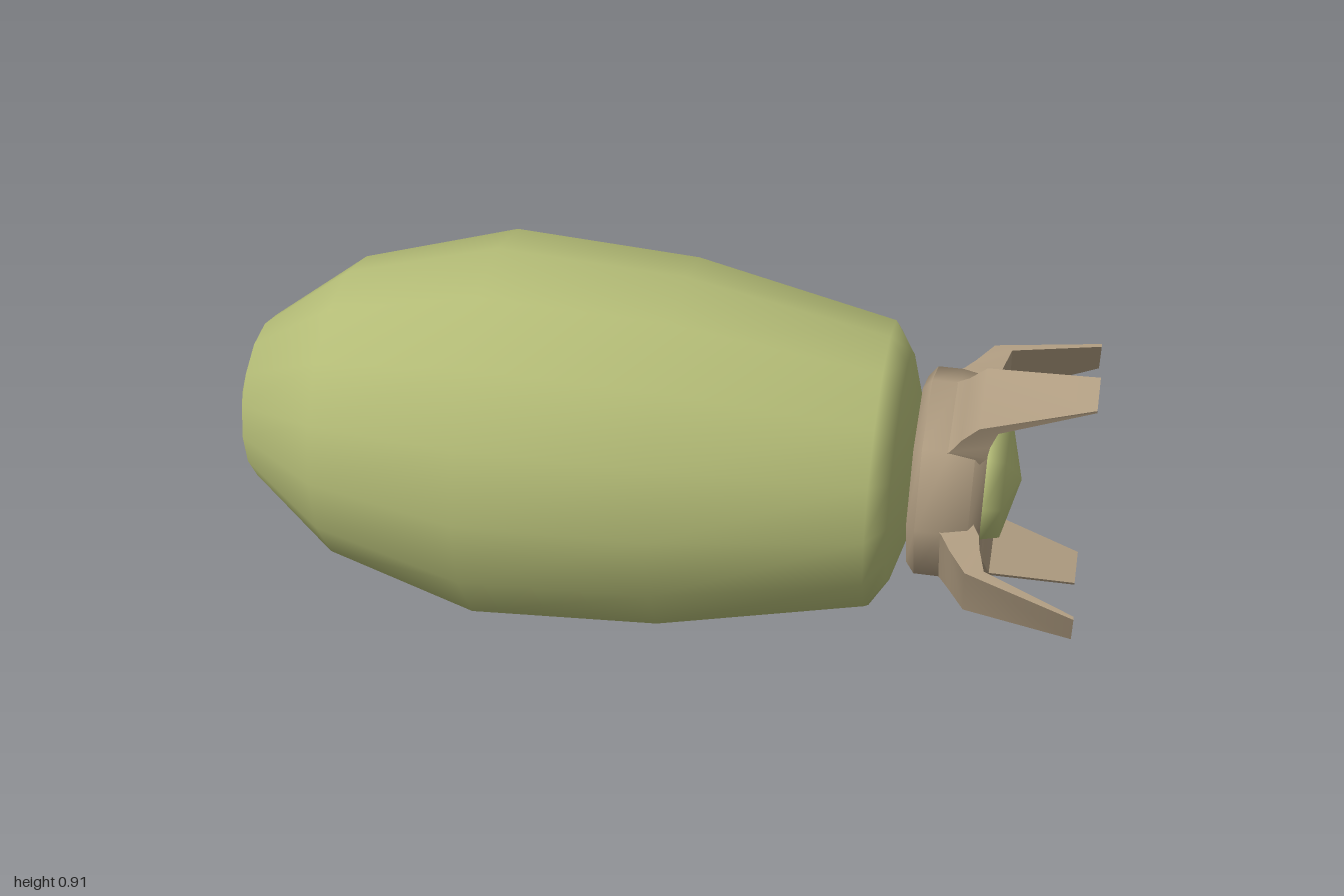
import * as THREE from 'three';
import { toCreasedNormals } from 'three/addons/utils/BufferGeometryUtils.js';

const AXIS_Y = 0.453;
const TWIST = THREE.MathUtils.degToRad(3);
const green = new THREE.MeshStandardMaterial({ color: 0xb3bb76 });
const tan = new THREE.MeshStandardMaterial({ color: 0xae9b80 });

// Solid of revolution along x, from [x, radius] pairs
function turned(name, profile, sides, material, start = 0, crease = 0) {
  const points = profile.map(([x, r]) => new THREE.Vector2(r, x));
  let geometry = new THREE.LatheGeometry(points, sides, start);
  if (crease) geometry = toCreasedNormals(geometry, crease);
  geometry.rotateZ(-Math.PI / 2);
  const mesh = new THREE.Mesh(geometry, material);
  mesh.name = name;
  return mesh;
}

// Bent, tapering sepal: each row is [outer x, outer r, inner x, inner r, half width]
function sepalGeometry() {
  const rows = [
    [0.67, 0.2, 0.76, 0.18, 0.095],
    [0.7, 0.225, 0.78, 0.215, 0.094],
    [0.722, 0.256, 0.785, 0.243, 0.083],
    [0.76, 0.305, 0.8, 0.295, 0.08],
    [1, 0.366, 1, 0.358, 0.043],
  ];
  const positions = [];
  const index = [];
  rows.forEach(([ox, or, ix, ir, w], i) => {
    positions.push(ox, or, -w, ox, or, w, ix, ir, w, ix, ir, -w);
    if (i === 0) return;
    const a = (i - 1) * 4, b = i * 4;
    for (let j = 0; j < 4; j++) {
      const k = (j + 1) % 4;
      index.push(a + j, a + k, b + k, a + j, b + k, b + j);
    }
  });
  const e = (rows.length - 1) * 4;
  index.push(e, e + 1, e + 2, e, e + 2, e + 3);
  const geometry = new THREE.BufferGeometry();
  geometry.setAttribute('position', new THREE.Float32BufferAttribute(positions, 3));
  geometry.setIndex(index);
  return toCreasedNormals(geometry, 0.9);
}

export function createModel() {
  const model = new THREE.Group();
  model.name = 'fruit';
  const fruit = new THREE.Group();
  fruit.name = 'fruitParts';
  fruit.position.y = AXIS_Y;
  model.add(fruit);

  // Plump body, pointed at one end
  fruit.add(turned('body', [
    [-1, 0], [-0.925, 0.195], [-0.71, 0.355], [-0.35, 0.453], [0.08, 0.428],
    [0.54, 0.33], [0.582, 0.265], [0.62, 0.14], [0.63, 0],
  ], 16, green));

  // Core bud poking through the collar
  fruit.add(turned('coreBud', [
    [0.6, 0.147], [0.78, 0.147], [0.82, 0.138], [0.855, 0],
  ], 8, green));

  // Octagonal collar
  fruit.add(turned('collar', [
    [0.62, 0.15], [0.62, 0.215], [0.64, 0.24], [0.7, 0.24], [0.755, 0.23],
    [0.78, 0.2], [0.775, 0.168], [0.7, 0.155], [0.62, 0.15],
  ], 8, tan, TWIST, 0.85));

  // Four sepals flaring from alternate sides of the collar
  const sepal = sepalGeometry();
  for (let i = 0; i < 4; i++) {
    const mesh = new THREE.Mesh(sepal, tan);
    mesh.name = 'sepal' + (i + 1);
    mesh.rotation.x = TWIST + Math.PI / 8 + (i * Math.PI) / 2;
    fruit.add(mesh);
  }
  return model;
}
